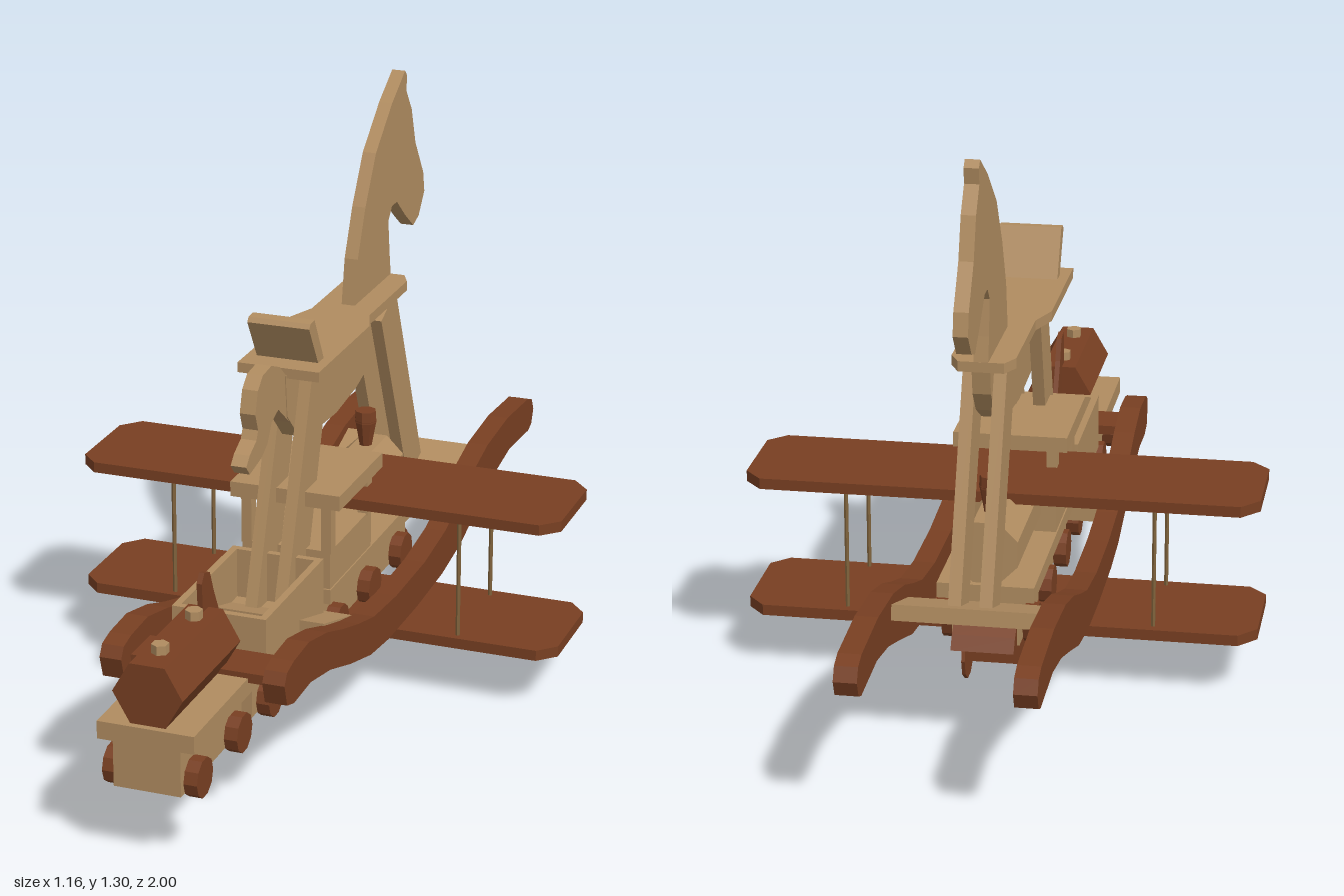
import * as THREE from 'three';

const tan = new THREE.MeshStandardMaterial({ color: 0xb08c60, flatShading: true });
const brown = new THREE.MeshStandardMaterial({ color: 0x783f22, flatShading: true });
const rodColor = new THREE.MeshStandardMaterial({ color: 0x80633c, flatShading: true });
tan.name = 'lightWood';
brown.name = 'darkWood';
rodColor.name = 'rodWood';

export function createModel() {
  const root = new THREE.Group();
  let parent = root;
  const group = (name) => {
    parent = new THREE.Group();
    parent.name = name;
    root.add(parent);
  };
  const add = (name, geo, mat) => {
    const m = new THREE.Mesh(geo, mat);
    m.name = name;
    parent.add(m);
    return m;
  };
  // box from min/max ranges
  const box = (name, mat, [x0, x1], [y0, y1], [z0, z1]) =>
    add(name, new THREE.BoxGeometry(x1 - x0, y1 - y0, z1 - z0), mat)
      .position.set((x0 + x1) / 2, (y0 + y1) / 2, (z0 + z1) / 2);
  // side profile of [z, y] points, cut as a plank between x0 and x1
  const plank = (name, mat, pts, x0, x1) => {
    const s = new THREE.Shape(pts.map(([z, y]) => new THREE.Vector2(-z, y)));
    const g = new THREE.ExtrudeGeometry(s, { depth: x1 - x0, bevelEnabled: false });
    g.rotateY(Math.PI / 2).translate(x0, 0, 0);
    return add(name, g, mat);
  };
  // plan outline of [x, z] points, between y0 and y1
  const board = (name, mat, pts, y0, y1) => {
    const s = new THREE.Shape(pts.map(([x, z]) => new THREE.Vector2(x, -z)));
    const g = new THREE.ExtrudeGeometry(s, { depth: y1 - y0, bevelEnabled: false });
    g.rotateX(-Math.PI / 2).translate(0, y0, 0);
    return add(name, g, mat);
  };
  const wheel = (name, x, y, z, r, w) => {
    const g = new THREE.CylinderGeometry(r, r, w, 10);
    g.rotateZ(Math.PI / 2).translate(x, y, z);
    add(name, g, brown);
  };
  const peg = (name, mat, r0, r1, y0, y1, x, z, sides = 8) =>
    add(name, new THREE.CylinderGeometry(r1, r0, y1 - y0, sides), mat).position.set(x, (y0 + y1) / 2, z);
  const sides = [-1, 1];

  // Rockers and their cross slats
  group('rockerBase');
  const rocker = [[0.755, 0.33], [0.74, 0.355], [0.7, 0.365], [0.61, 0.37], [0.5, 0.345], [0.4, 0.31], [0.3, 0.28],
    [0.2, 0.255], [0.05, 0.243], [-0.15, 0.245], [-0.3, 0.265], [-0.4, 0.298], [-0.5, 0.335], [-0.62, 0.365],
    [-0.78, 0.378], [-0.95, 0.368], [-0.985, 0.355], [-1, 0.325], [-0.985, 0.29], [-0.96, 0.28], [-0.8, 0.288],
    [-0.68, 0.268], [-0.55, 0.228], [-0.42, 0.185], [-0.28, 0.163], [-0.1, 0.155], [0.1, 0.157], [0.22, 0.17],
    [0.35, 0.205], [0.48, 0.248], [0.6, 0.272], [0.7, 0.268], [0.74, 0.28]];
  for (const s of sides) plank('rocker', brown, rocker, s * 0.185 - 0.025, s * 0.185 + 0.025);
  plank('frontSlat', tan, [[0.22, 0.22], [0.4, 0.275], [0.4, 0.315], [0.22, 0.26]], -0.165, 0.165);
  plank('rearSlat', tan, [[-0.47, 0.255], [-0.65, 0.315], [-0.645, 0.35], [-0.46, 0.29]], -0.165, 0.165);
  box('footRest', brown, [-0.21, 0.21], [0.3, 0.322], [0.6, 0.705]);

  // Horse
  group('horse');
  plank('body', tan, [[0.25, 0.82], [-0.45, 0.82], [-0.44, 0.76], [-0.4, 0.71], [-0.33, 0.67], [-0.2, 0.635],
    [-0.07, 0.62], [0.1, 0.628], [0.17, 0.65], [0.24, 0.72]], -0.02, 0.02);
  plank('tail', tan, [[0.22, 0.7], [0.29, 0.755], [0.33, 0.74], [0.355, 0.7], [0.39, 0.68], [0.46, 0.667],
    [0.48, 0.69], [0.46, 0.71], [0.42, 0.73], [0.41, 0.75], [0.425, 0.79], [0.41, 0.84], [0.38, 0.865],
    [0.33, 0.87], [0.28, 0.85], [0.24, 0.815], [0.2, 0.75]], -0.018, 0.018);
  plank('head', tan, [[-0.2, 0.83], [-0.22, 0.94], [-0.27, 1.05], [-0.34, 1.16], [-0.45, 1.25], [-0.54, 1.305],
    [-0.555, 1.29], [-0.55, 1.255], [-0.59, 1.2], [-0.62, 1.11], [-0.68, 1.02], [-0.69, 0.97], [-0.65, 0.92],
    [-0.61, 0.907], [-0.55, 0.95], [-0.49, 1], [-0.455, 1], [-0.43, 0.97], [-0.44, 0.89], [-0.45, 0.83]],
  -0.016, 0.016);
  board('seat', tan, [[-0.095, 0.245], [0.095, 0.245], [0.095, -0.08], [0.07, -0.15], [0.07, -0.41], [0.05, -0.45],
    [-0.05, -0.45], [-0.07, -0.41], [-0.07, -0.15], [-0.095, -0.08]], 0.812, 0.835);
  plank('backrest', tan, [[0.15, 0.83], [0.185, 0.83], [0.243, 0.93], [0.235, 0.94], [0.21, 0.942]], -0.072, 0.072);
  for (const s of sides) {
    const x0 = s * 0.034 - 0.014, x1 = s * 0.034 + 0.014;
    plank('rearLeg', tan, [[0.155, 0.81], [0.06, 0.765], [0.215, 0.27], [0.33, 0.29]]
      .map(([z, y]) => [z, y]), x0, x1);
    plank('frontLeg', tan, [[-0.295, 0.77], [-0.395, 0.815], [-0.6, 0.315], [-0.505, 0.275]], x0, x1);
  }

  // Leading train car with a six-sided boiler
  group('frontCar');
  box('carBody', tan, [-0.075, 0.075], [0.165, 0.275], [0.66, 0.995]);
  box('carDeck', tan, [-0.108, 0.108], [0.27, 0.31], [0.66, 1]);
  const hex = new THREE.CylinderGeometry(0.078, 0.078, 0.315, 6);
  hex.rotateX(Math.PI / 2).rotateZ(Math.PI / 2);
  add('tank', hex, brown).position.set(0, 0.377, 0.828);
  for (const z of [0.735, 0.915]) peg('peg', tan, 0.019, 0.019, 0.44, 0.465, 0, z, 6);
  plank('fin', brown, [[0.6, 0.39], [0.64, 0.47], [0.66, 0.52], [0.69, 0.53], [0.705, 0.51], [0.7, 0.44],
    [0.67, 0.36], [0.61, 0.36]], -0.006, 0.006);

  // Open tender
  group('tender');
  box('tenderBody', tan, [-0.075, 0.075], [0.165, 0.275], [0.25, 0.6]);
  box('tenderFloor', tan, [-0.108, 0.108], [0.265, 0.285], [0.25, 0.6]);
  for (const s of sides) {
    box('tenderSide', tan, [s * 0.1 - 0.008, s * 0.1 + 0.008], [0.28, 0.4], [0.25, 0.6]);
    const z = 0.425 + s * 0.167;
    box('tenderEnd', tan, [-0.095, 0.095], [0.28, 0.4], [z - 0.008, z + 0.008]);
  }
  peg('couplingPin', rodColor, 0.006, 0.006, 0.2, 0.27, 0, 0.615);
  add('couplingBall', new THREE.IcosahedronGeometry(0.016, 1), brown).position.set(0, 0.2, 0.62);
  box('coupling', tan, [-0.01, 0.01], [0.225, 0.245], [0.59, 0.67]);

  // Engine with cab
  group('engine');
  box('engineBody', tan, [-0.075, 0.075], [0.165, 0.275], [-0.4, 0.205]);
  box('engineDeck', tan, [-0.108, 0.108], [0.27, 0.305], [-0.405, 0.205]);
  box('cabBase', tan, [-0.105, 0.105], [0.3, 0.395], [-0.07, 0.2]);
  for (const s of sides) for (const z of [-0.055, 0.185]) {
    box('cabPost', tan, [s * 0.095 - 0.012, s * 0.095 + 0.012], [0.39, 0.505], [z - 0.015, z + 0.015]);
  }
  box('cabRoof', tan, [-0.13, 0.13], [0.5, 0.535], [-0.075, 0.208]);
  const boiler = new THREE.CylinderGeometry(0.076, 0.076, 0.325, 8);
  boiler.rotateX(Math.PI / 2).rotateZ(Math.PI / 8);
  add('boiler', boiler, tan).position.set(0, 0.377, -0.232);
  peg('chimney', brown, 0.014, 0.027, 0.44, 0.51, 0, -0.325);
  peg('chimneyRim', brown, 0.027, 0.025, 0.505, 0.533, 0, -0.325);
  plank('bumper', brown, [[-0.4, 0.165], [-0.45, 0.165], [-0.43, 0.195], [-0.4, 0.22]], -0.07, 0.07);

  // Train wheels
  group('trainWheels');
  for (const z of [0.94, 0.72, 0.535, 0.32, 0.12, -0.1, -0.32]) {
    for (const s of sides) wheel('trainWheel', s * 0.091, 0.19, z, 0.044, 0.03);
  }

  // Biplane wings, struts and undercarriage
  group('biplane');
  const wing = [[-0.58, -0.2], [-0.54, -0.245], [0.54, -0.245], [0.58, -0.2],
    [0.58, 0], [0.54, 0.04], [-0.54, 0.04], [-0.58, 0]];
  board('upperWing', brown, wing, 0.436, 0.461);
  board('lowerWing', brown, wing, 0.13, 0.155);
  for (const s of sides) {
    for (const z of [-0.22, 0.02]) peg('strut', rodColor, 0.005, 0.005, 0.15, 0.44, s * 0.348, z, 6);
    wheel('landingWheel', s * 0.074, 0.06, -0.215, 0.06, 0.008);
  }
  box('undercarriage', brown, [-0.068, 0.068], [0.053, 0.132], [-0.25, -0.147]);

  return root;
}
